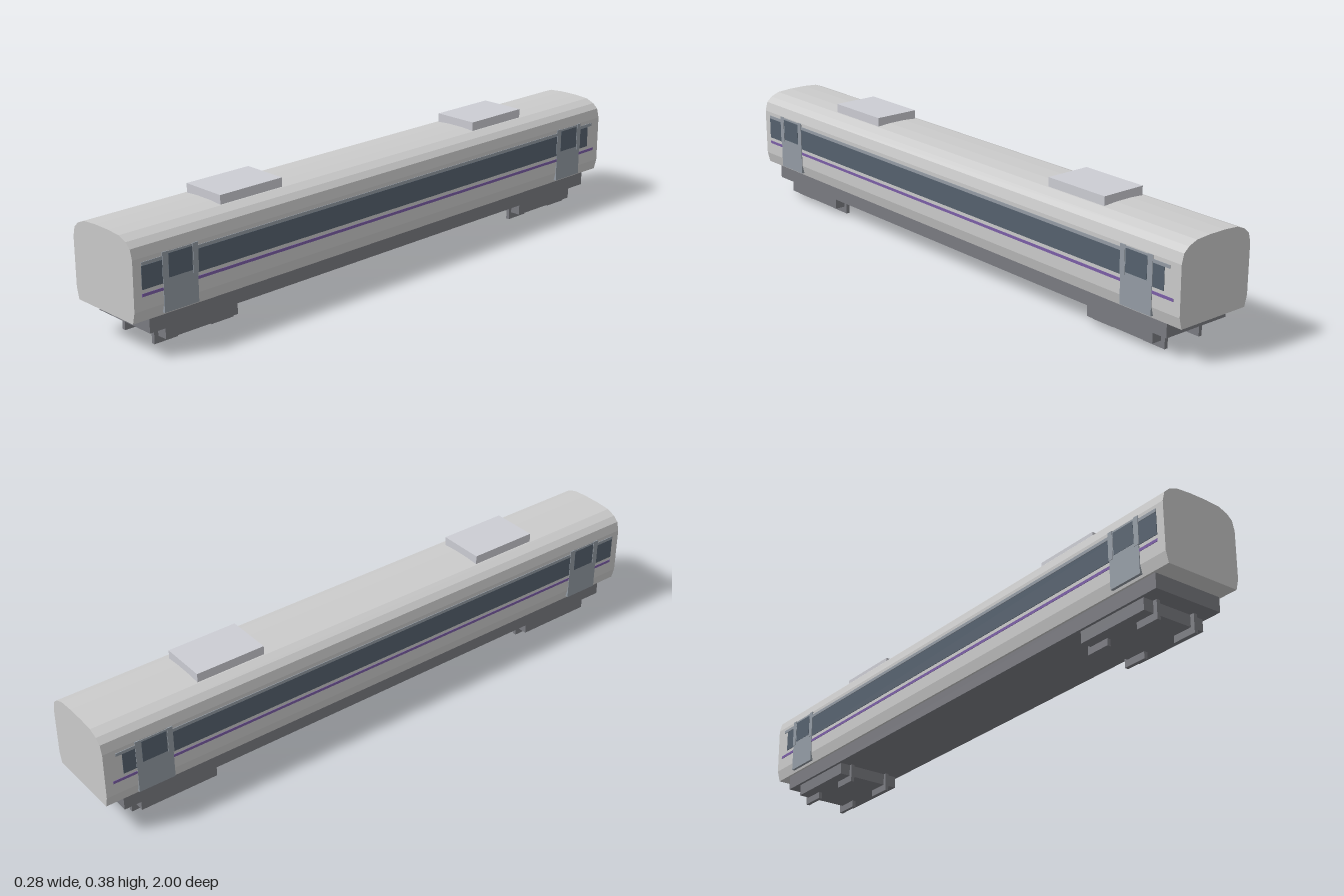
import * as THREE from 'three';

const mat = (color, extra = {}) => new THREE.MeshStandardMaterial({ color, ...extra });

export function createModel() {
  const car = new THREE.Group();
  car.name = 'railCarriage';

  const bodyMat = mat(0xcccccc, { flatShading: true });
  const underMat = mat(0x7b7c82);
  const podMat = mat(0xcccdd4);
  const glassMat = mat(0x56626f);
  const doorMat = mat(0x949ca5);
  const stripeMat = mat(0x7c5fa8);

  // Box given by its extents on each axis
  const box = (name, [x0, x1], [y0, y1], [z0, z1], material) => {
    const mesh = new THREE.Mesh(new THREE.BoxGeometry(x1 - x0, y1 - y0, z1 - z0), material);
    mesh.position.set((x0 + x1) / 2, (y0 + y1) / 2, (z0 + z1) / 2);
    mesh.name = name;
    car.add(mesh);
  };

  // Body shell: half section mirrored, extruded along the length
  const half = [
    [0.126, 0.107], [0.135, 0.142], [0.136, 0.295], [0.128, 0.325],
    [0.11, 0.341], [0.08, 0.353], [0.03, 0.3565],
  ];
  const section = [...half, ...half.map(([x, y]) => [-x, y]).reverse()];
  const shape = new THREE.Shape(section.map(([x, y]) => new THREE.Vector2(x, y)));
  const shell = new THREE.ExtrudeGeometry(shape, { depth: 2, bevelEnabled: false });
  shell.translate(0, 0, -1);
  const body = new THREE.Mesh(shell, bodyMat);
  body.name = 'bodyShell';
  car.add(body);

  // Underframe
  box('underframe', [-0.119, 0.119], [0.06, 0.109], [-0.94, 0.94], underMat);

  for (const end of [1, -1]) {
    const span = (a, b) => (end > 0 ? [a, b] : [-b, -a]);

    // Roof unit
    box('roofUnit', [-0.076, 0.076], [0.35, 0.382], span(0.413, 0.645), podMat);

    // Bogie with four narrow wheel blocks
    box('bogieFrame', [-0.11, 0.11], [0.022, 0.062], span(0.62, 0.88), underMat);
    for (const side of [1, -1]) {
      for (const z of [0.65, 0.853]) {
        box('wheel', [side * 0.069 - 0.006, side * 0.069 + 0.006], [0, 0.062],
          span(z - 0.041, z + 0.041), underMat);
      }
    }
  }

  for (const side of [1, -1]) {
    const skin = (out) => (side > 0 ? [0.125, out] : [-out, -0.125]);

    // Window band, rail above it and coloured waist stripe
    box('windowBand', skin(0.1372), [0.203, 0.272], [-0.94, 0.972], glassMat);
    box('windowRail', skin(0.138), [0.273, 0.283], [-0.96, 0.972], doorMat);
    box('waistStripe', skin(0.1366), [0.182, 0.191], [-0.975, 0.972], stripeMat);

    // Doors near each end, with posts and glazing
    for (const z of [0.84, -0.836]) {
      box('door', skin(0.1376), [0.115, 0.292], [z - 0.06, z + 0.06], doorMat);
      box('doorWindow', skin(0.1384), [0.215, 0.286], [z - 0.041, z + 0.041], glassMat);
      for (const dz of [-0.053, 0.053]) {
        box('doorPost', skin(0.139), [0.205, 0.294], [z + dz - 0.009, z + dz + 0.009], doorMat);
      }
    }
  }

  return car;
}
